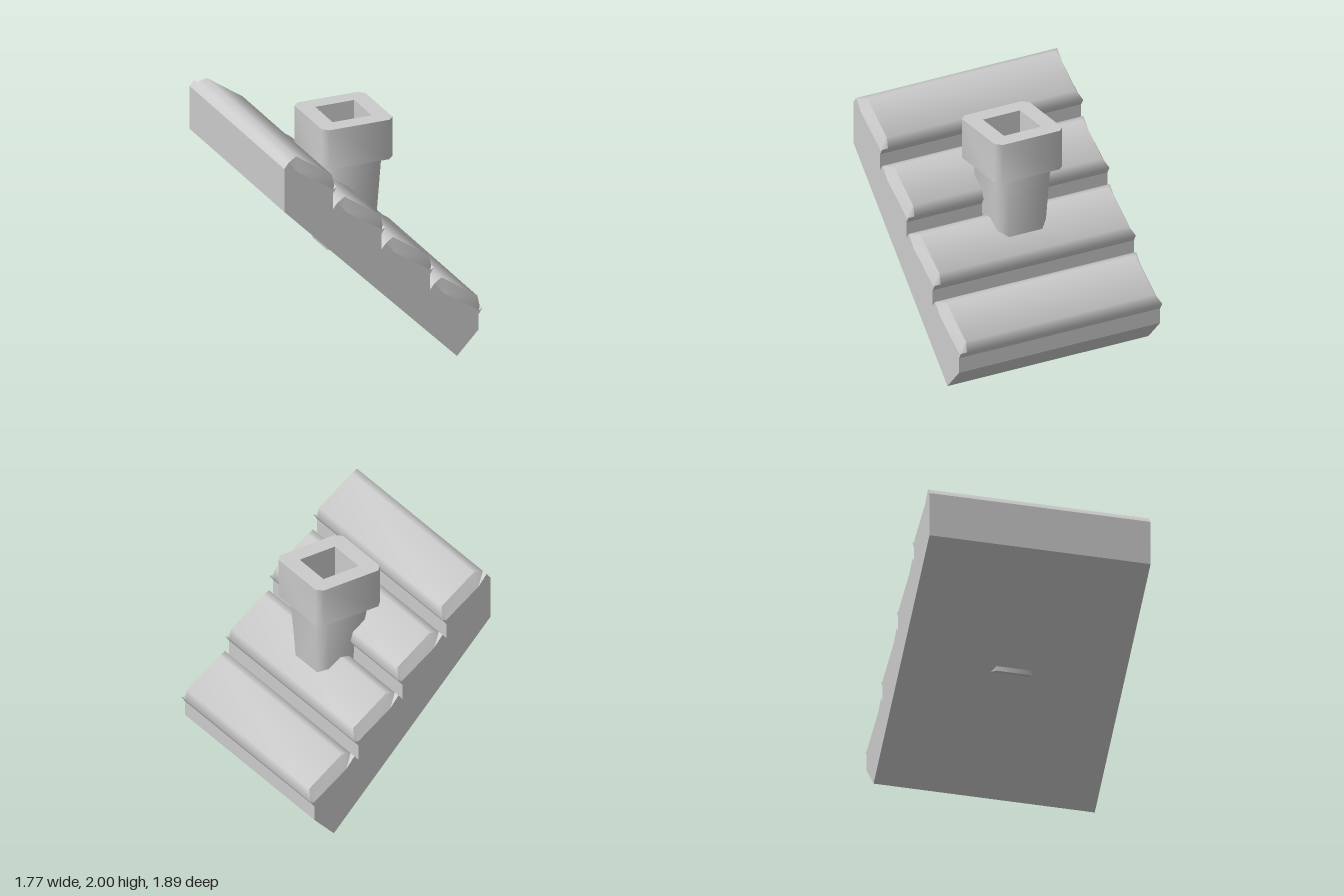
import * as THREE from 'three';
import { toCreasedNormals } from 'three/addons/utils/BufferGeometryUtils.js';

const grey = new THREE.MeshStandardMaterial({ color: 0xcccccc, side: THREE.DoubleSide });
const CREASE = 0.9; // radians: softer bends are shaded smooth
const HALF = 0.945; // half depth of the roof
const STEP = 0.434; // each tile row moves out and down by this much
const ROWS = 4;

function part(name, geometry) {
  const mesh = new THREE.Mesh(geometry, grey);
  mesh.name = name;
  return mesh;
}

function shapeOf(points) {
  return new THREE.Shape(points.map(([x, y]) => new THREE.Vector2(x, y)));
}

// Skin joining closed rings of [x, y, z] points
function loft(rings) {
  const pos = [];
  for (let k = 0; k < rings.length - 1; k++) {
    const n = rings[k].length;
    for (let i = 0; i < n; i++) {
      const j = (i + 1) % n;
      const a = rings[k][i], b = rings[k][j], c = rings[k + 1][i], d = rings[k + 1][j];
      pos.push(...a, ...c, ...b, ...b, ...c, ...d);
    }
  }
  const geo = new THREE.BufferGeometry();
  geo.setAttribute('position', new THREE.Float32BufferAttribute(pos, 3));
  geo.computeVertexNormals();
  return toCreasedNormals(geo, CREASE);
}

// Square outline with cut corners
function cutSquare(h, c) {
  const e = h - c;
  return [[h, -e], [h, e], [e, h], [-e, h], [-h, e], [-h, -e], [-e, -h], [e, -h]];
}

// Sloping roof slab with a stepped top
function roofBase() {
  const outline = [[0.655, 0], [-0.89, 1.55]];
  for (let i = 0; i < ROWS; i++) {
    const s = i * STEP;
    outline.push([-0.89 + s, 1.93 - s], [-0.456 + s, 1.635 - s]);
  }
  outline.push([0.846, 0.2]);
  const geo = new THREE.ExtrudeGeometry(shapeOf(outline), { depth: 2 * HALF, bevelEnabled: false });
  geo.translate(0, 0, -HALF);
  return part('roofBase', geo);
}

// One row of tiles, bevelled at both ends
function tileRow(index) {
  const middle = [[-0.89, 1.93], [-0.85, 1.98], [-0.76, 2.0], [-0.44, 1.78], [-0.42, 1.69], [-0.456, 1.635]];
  const end = middle.map((p) => [...p]);
  end[2] = [-0.77, 1.885];
  end[3] = [-0.45, 1.675];
  const at = (ring, z) => ring.map(([x, y]) => [x, y, z]);
  const row = new THREE.Group();
  row.name = 'tileRow' + (index + 1);
  row.add(part('tileSurface', loft([at(end, -HALF), at(middle, -0.89), at(middle, 0.89), at(end, HALF)])));
  for (const side of [1, -1]) {
    const cap = part('tileEnd', new THREE.ShapeGeometry(shapeOf(end)));
    if (side < 0) {
      // mirrored so the face points backwards
      cap.geometry.scale(-1, 1, 1);
      cap.rotation.y = Math.PI;
    }
    cap.position.z = side * HALF;
    row.add(cap);
  }
  row.position.set(index * STEP, -index * STEP, 0);
  return row;
}

function chimney() {
  const group = new THREE.Group();
  group.name = 'chimney';

  // Tapered stack passing through the roof
  const low = 0.77, high = 1.56;
  const ring = (h, y) => cutSquare(h, 0.07).map(([x, z]) => [x, y, z]);
  group.add(part('stack', loft([ring(0.2125, low), ring(0.257, high)])));
  const bottom = part('stackBottom', new THREE.ShapeGeometry(shapeOf(cutSquare(0.2125, 0.07))));
  bottom.rotation.x = Math.PI / 2;
  bottom.position.y = low;
  const floor = part('flueFloor', new THREE.PlaneGeometry(0.35, 0.35));
  floor.rotation.x = -Math.PI / 2;
  floor.position.y = high;
  group.add(bottom, floor);

  // Wider crown with a square flue
  const shape = shapeOf(cutSquare(0.318, 0.05));
  const f = 0.174;
  shape.holes.push(new THREE.Path([[-f, -f], [-f, f], [f, f], [f, -f]].map(([x, y]) => new THREE.Vector2(x, y))));
  const crownGeo = new THREE.ExtrudeGeometry(shape, { depth: 0.35, bevelEnabled: false });
  crownGeo.rotateX(-Math.PI / 2);
  const crown = part('crown', toCreasedNormals(crownGeo, CREASE));
  crown.position.y = high;
  group.add(crown);

  group.position.x = 0.0625;
  return group;
}

export function createModel() {
  const model = new THREE.Group();
  model.name = 'roofWithChimney';
  model.add(roofBase());
  for (let i = 0; i < ROWS; i++) model.add(tileRow(i));
  model.add(chimney());
  return model;
}
